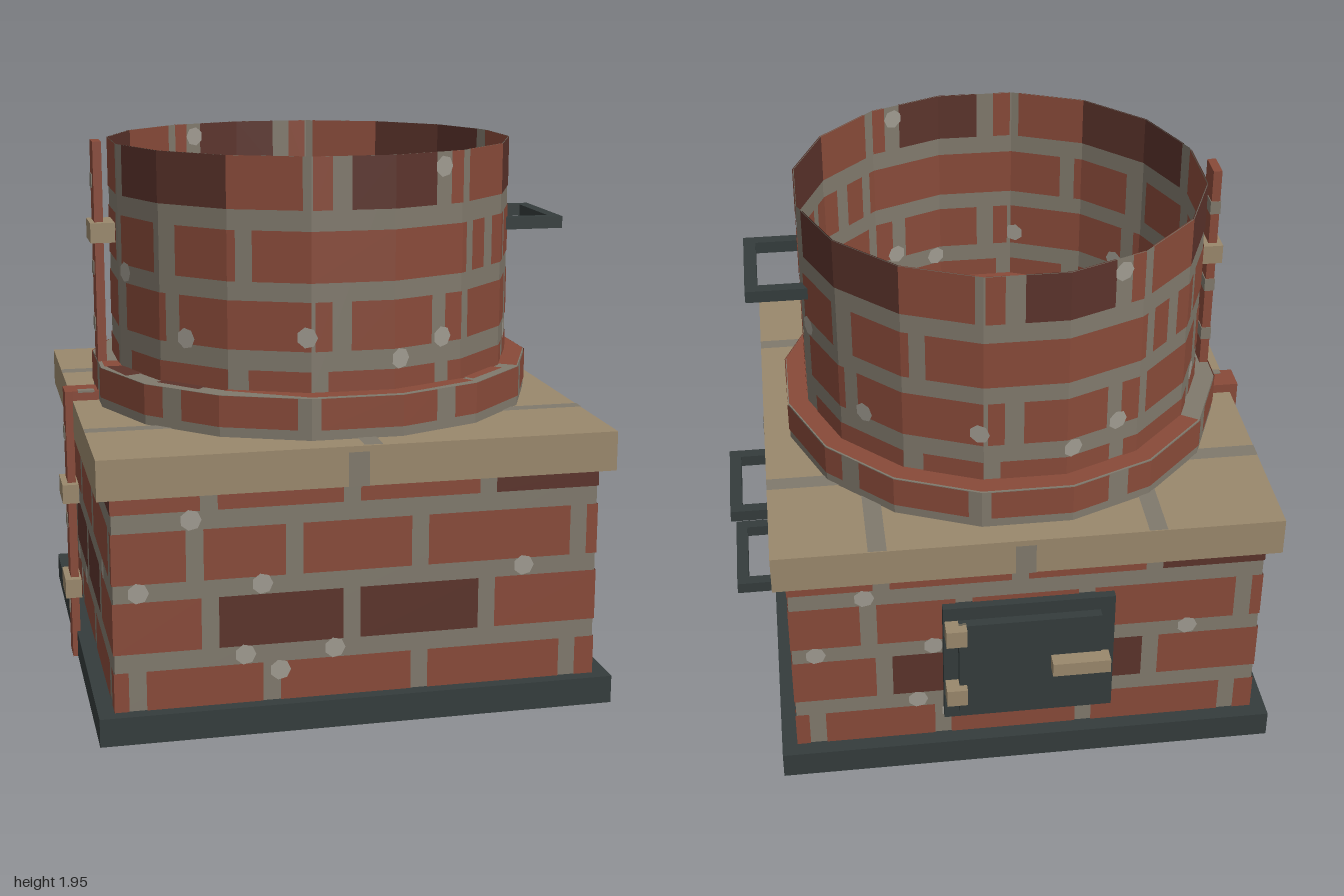
import * as THREE from 'three';
import { mergeGeometries } from 'three/addons/utils/BufferGeometryUtils.js';

const material = (name, color) =>
  new THREE.MeshStandardMaterial({ name, color, side: THREE.DoubleSide });
const brick = material('red brick', 0x884a39);
const dark = material('dark brick', 0x5b332b);
const mortar = material('mortar', 0x80796c);
const pale = material('pale mortar', 0x9f9a90);
const stone = material('tan stone', 0x9a886c);
const iron = material('dark iron', 0x343c3c);

const CX = -0.05, CZ = 0.03; // shared centre axis of base, slab and drum

function add(group, name, geometries, mat) {
  const list = [].concat(geometries);
  if (!list.length) return;
  const mesh = new THREE.Mesh(list.length > 1 ? mergeGeometries(list) : list[0], mat);
  mesh.name = name;
  group.add(mesh);
}

// Box from its limits
function box(x0, x1, y0, y1, z0, z1) {
  return new THREE.BoxGeometry(x1 - x0, y1 - y0, z1 - z0)
    .translate((x0 + x1) / 2, (y0 + y1) / 2, (z0 + z1) / 2);
}

// Put a flat geometry on side i of an n-sided wall, s along the side
function onSide(geometry, n, apothem, i, s, y) {
  return geometry.translate(s, y, apothem)
    .rotateY(i * 2 * Math.PI / n).translate(CX, 0, CZ);
}

// Strip that follows an n-sided wall from u0 to u1, counted in sides from the front
function band(n, apothem, u0, u1, y0, y1) {
  const side = 2 * apothem * Math.tan(Math.PI / n), parts = [];
  for (let i = Math.floor(u0); i < u1; i++) {
    const a = Math.max(u0, i) - i, b = Math.min(u1, i + 1) - i;
    if (b - a < 0.001) continue;
    const plane = new THREE.PlaneGeometry((b - a) * side, y1 - y0);
    parts.push(onSide(plane, n, apothem, i, ((a + b) / 2 - 0.5) * side, (y0 + y1) / 2));
  }
  return parts;
}

// Small pale patch on a wall
function patch(n, apothem, u, y) {
  const i = Math.floor(u), side = 2 * apothem * Math.tan(Math.PI / n);
  return onSide(new THREE.CircleGeometry(0.037, 7), n, apothem, i, (u - i - 0.5) * side, y);
}

// Flat horizontal plate from [x, z] points
function plate(points, y) {
  const shape = new THREE.Shape(points.map(([x, z]) => new THREE.Vector2(x, -z)));
  return new THREE.ShapeGeometry(shape).rotateX(-Math.PI / 2).translate(0, y, 0);
}
const rectPlate = (x0, x1, z0, z1, y) => plate([[x0, z1], [x1, z1], [x1, z0], [x0, z0]], y);

function makeBase() {
  const g = new THREE.Group();
  g.name = 'base';
  // Iron plinth, open underneath
  const plinth = box(-0.96, 0.86, 0, 0.1, -0.88, 0.93);
  const index = Array.from(plinth.index.array);
  index.splice(18, 6);
  plinth.setIndex(index);
  plinth.clearGroups();
  add(g, 'plinth', plinth, iron);
  add(g, 'baseWalls', box(-0.9, 0.8, 0.1, 0.86, -0.82, 0.88), mortar);

  // Brick courses, the same on each side; third number 1 means dark
  const odd = [[0, 0.25], [0.31, 0.59], [0.65, 1.03], [1.09, 1.6], [1.66, 1.7]];
  const even = [[0, 0.3], [0.36, 0.79, 1], [0.85, 1.27, 1], [1.33, 1.7]];
  const top = [[0, 0.3], [0.36, 0.79], [0.85, 1.27], [1.33, 1.7, 1]];
  const low = [[0, 0.05], [0.11, 0.51], [0.57, 1.03], [1.09, 1.57], [1.63, 1.7]];
  const courses = [[0.1, 0.24, low], [0.305, 0.487, even], [0.55, 0.73, odd], [0.795, 0.86, top]];
  const spots = [[0.27, 0.765], [0.09, 0.52], [0.51, 0.525], [1.43, 0.525],
    [0.45, 0.275], [0.76, 0.275], [0.57, 0.21]];
  const red = [], deep = [], spot = [];
  for (let side = 0; side < 4; side++) {
    for (const [y0, y1, row] of courses)
      for (const [a, b, d] of row)
        (d ? deep : red).push(...band(4, 0.854, side + a / 1.7, side + b / 1.7, y0, y1));
    for (const [u, y] of spots) spot.push(patch(4, 0.857, side + u / 1.7, y));
  }
  add(g, 'baseBricks', red, brick);
  add(g, 'baseDarkBricks', deep, dark);
  add(g, 'baseMortarPatches', spot, pale);
  return g;
}

function makeSlab() {
  const g = new THREE.Group();
  g.name = 'slab';
  add(g, 'slabStone', box(-0.95, 0.85, 0.86, 1, -0.87, 0.93), stone);
  const joints = [
    rectPlate(0.45, 0.515, -0.87, -0.5, 1.003), rectPlate(-0.53, -0.465, -0.87, -0.5, 1.003),
    rectPlate(-0.05, 0.015, 0.75, 0.93, 1.003)];
  for (const [z0, z1] of [[-0.465, -0.4], [0.515, 0.57]])
    joints.push(rectPlate(-0.95, -0.5, z0, z1, 1.003), rectPlate(0.45, 0.85, z0, z1, 1.003));
  for (let i = 0; i < 4; i++) joints.push(...band(4, 0.903, i + 0.47, i + 0.51, 0.86, 0.98));
  add(g, 'slabJoints', joints, mortar);
  return g;
}

function makeCollar() {
  const g = new THREE.Group();
  g.name = 'collar';
  const body = new THREE.CylinderGeometry(0.818, 0.818, 0.145, 16, 1, false, Math.PI / 16)
    .toNonIndexed().translate(CX, 1.0725, CZ);
  body.computeVertexNormals();
  add(g, 'collarBody', body, mortar);
  const red = [];
  for (let i = 0; i < 10; i++) red.push(...band(16, 0.806, i * 1.6 + 0.1, i * 1.6 + 1.45, 1.035, 1.145));
  add(g, 'collarBricks', red, brick);

  // Brick floor: rim, wedges, then the middle pieces
  const y = 1.149, floor = [], deep = [];
  const wedge = (r0, r1, a0, a1) => plate([[r0, a0], [r1, a0], [r1, a1], [r0, a1]].map(([r, a]) => {
    const t = a * Math.PI / 180;
    return [CX + r * Math.cos(t), CZ + r * Math.sin(t)];
  }), y);
  for (let i = 0; i < 8; i++) floor.push(wedge(0.725, 0.815, 213.75 + i * 22.5, 236.25 + i * 22.5));
  for (const a of [188, 212, 233, 258, 283]) deep.push(wedge(0.5, 0.7, a - 8, a + 8));
  deep.push(wedge(0.5, 0.8, 156, 169), wedge(0.5, 0.78, 131, 145));
  floor.push(wedge(0.5, 0.71, 302, 318), wedge(0.52, 0.77, 325, 340), wedge(0.5, 0.78, 345, 358),
    wedge(0.3, 0.79, 17, 32), wedge(0.25, 0.78, 38, 54));
  floor.push(
    plate([[-0.48, 0.02], [0.44, 0.02], [0.44, -0.1], [0.38, -0.24], [0.26, -0.4],
      [-0.25, -0.4], [-0.38, -0.22], [-0.48, -0.13]], y),
    rectPlate(-0.84, -0.28, 0.09, 0.185, y), rectPlate(-0.23, 0.18, 0.09, 0.185, y),
    rectPlate(0.23, 0.74, 0.09, 0.185, y),
    plate([[-0.24, 0.19], [0.17, 0.19], [0.08, 0.27], [-0.1, 0.27]], y),
    plate([[-0.48, 0.66], [-0.21, 0.825], [0.11, 0.825], [0.4, 0.69], [0.32, 0.57],
      [0.1, 0.33], [-0.12, 0.33], [-0.36, 0.56]], y));
  add(g, 'floorBricks', floor, brick);
  add(g, 'floorDarkBricks', deep, dark);
  add(g, 'floorJoints', [rectPlate(-0.05, 0.01, -0.13, 0.03, 1.152),
    rectPlate(-0.05, 0.01, 0.33, 0.52, 1.152), rectPlate(-0.28, 0.2, 0.51, 0.565, 1.152)], mortar);
  return g;
}

function makeDrum() {
  const g = new THREE.Group();
  g.name = 'drum';
  add(g, 'drumWall', band(16, 0.728, 0, 16, 1.145, 1.95), mortar);
  // Courses repeat twice around
  const courses = [
    [1.145, 1.22, [[-2.7, -1], [-0.75, 0], [0.2, 1.6], [1.8, 3.3], [3.5, 4.9]]],
    [1.29, 1.46, [[-2.8, -1.9], [-1.7, 0], [0.05, 0.25], [0.48, 1.55], [1.75, 2], [2.15, 3.6], [3.8, 4.95]]],
    [1.525, 1.7, [[-2.9, -2.1], [-1.75, -0.9], [-0.7, 2.1], [2.25, 2.55], [2.75, 3.25], [3.4, 4.85]]],
    [1.77, 1.95, [[-2.85, -1, 1], [-1, -0.1], [0.02, 0.25], [0.48, 1.6, 1], [1.82, 2], [2.15, 3], [3, 4, 1], [4, 4.95]]]];
  const spots = [[-1.6, 1.31], [-0.05, 1.34], [1.7, 1.31], [1.08, 1.255], [1.7, 1.9], [3.5, 1.255], [5.2, 1.5]];
  const red = [], deep = [], spot = [];
  for (const turn of [0, 8])
    for (const apothem of [0.731, 0.725]) { // outside and inside faces
      for (const [y0, y1, row] of courses)
        for (const [a, b, d] of row) (d ? deep : red).push(...band(16, apothem, a + turn, b + turn, y0, y1));
      for (const [u, y] of spots)
        spot.push(patch(16, apothem + (apothem > 0.728 ? 0.003 : -0.003), u + turn, y));
    }
  add(g, 'drumBricks', red, brick);
  add(g, 'drumDarkBricks', deep, dark);
  add(g, 'drumMortarPatches', spot, pale);
  return g;
}

function makeHandle(name, x0, x1, y) {
  const g = new THREE.Group();
  g.name = name;
  const lo = y - 0.022, hi = y + 0.022;
  add(g, 'handleBars', [box(x0, x1, lo, hi, -0.175, -0.13), box(x0, x1, lo, hi, 0.19, 0.235),
    box(x1 - 0.045, x1, lo, hi, -0.13, 0.19)], iron);
  return g;
}

function makeDoor() {
  const g = new THREE.Group();
  g.name = 'door';
  add(g, 'doorFrame', box(-0.36, 0.26, 0.2, 0.71, -0.855, -0.81), iron);
  add(g, 'doorPanel', box(-0.307, 0.207, 0.255, 0.655, -0.89, -0.855), iron);
  add(g, 'doorHinges', [0.31, 0.585].map(y => box(0.18, 0.255, y, y + 0.07, -0.92, -0.85)), stone);
  add(g, 'doorLatch', box(-0.335, -0.125, 0.435, 0.49, -0.945, -0.885), stone);
  return g;
}

function makePipe() {
  const g = new THREE.Group();
  g.name = 'pipe';
  const z0 = -0.03, z1 = 0.075;
  add(g, 'pipeRuns', [box(-0.978, -0.948, 0, 1.035, z0, z1), box(-0.948, -0.84, 1, 1.035, z0, z1),
    box(-0.852, -0.82, 1.035, 1.95, z0, z1)], brick);
  add(g, 'pipeJoints', [
    ...[0.16, 0.5, 0.84].map(y => box(-0.981, -0.947, y, y + 0.05, z0 - 0.003, 0.03)),
    ...[1.25, 1.46, 1.78].map(y => box(-0.855, -0.817, y, y + 0.05, z0 - 0.003, 0.03)),
    box(-0.93, -0.87, 1.03, 1.038, 0.05, z1 + 0.003)], mortar);
  add(g, 'pipeBrackets', [box(-1, -0.94, 0.245, 0.317, -0.055, 0.105),
    box(-1, -0.94, 0.615, 0.687, -0.055, 0.105), box(-0.87, -0.775, 1.588, 1.66, -0.055, 0.105)], stone);
  return g;
}

export function createModel() {
  const model = new THREE.Group();
  model.name = 'brickFurnace';
  model.add(makeBase(), makeSlab(), makeCollar(), makeDrum(), makeDoor(), makePipe(),
    makeHandle('lowerHandle', 0.78, 1, 0.332), makeHandle('middleHandle', 0.78, 1, 0.682),
    makeHandle('upperHandle', 0.645, 0.877, 1.632));
  return model;
}
